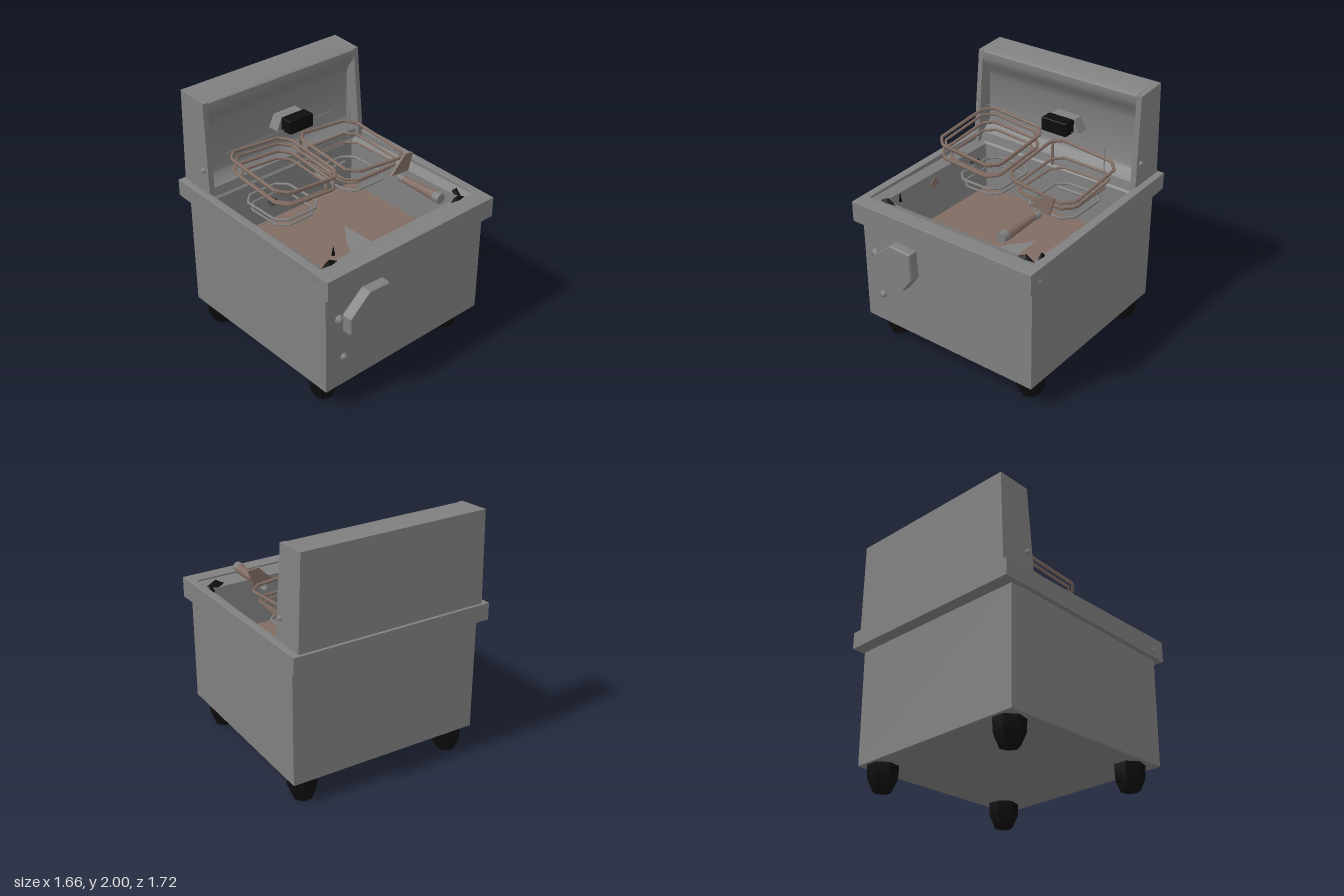
import * as THREE from 'three';
import { toCreasedNormals } from 'three/addons/utils/BufferGeometryUtils.js';
import { RoundedBoxGeometry } from 'three/addons/geometries/RoundedBoxGeometry.js';

const mat = (name, color, side = THREE.FrontSide) => {
  const m = new THREE.MeshStandardMaterial({ color, side });
  m.name = name;
  return m;
};

export function createModel() {
  const root = new THREE.Group();
  root.name = 'countertopFryer';
  const steel = mat('steel', 0x808080, THREE.DoubleSide);
  const copper = mat('copper', 0x806c62, THREE.DoubleSide);
  const black = mat('blackRubber', 0x0d0d0d, THREE.DoubleSide);

  const add = (name, geo, material, x = 0, y = 0, z = 0) => {
    const m = new THREE.Mesh(geo, material);
    m.name = name;
    m.position.set(x, y, z);
    root.add(m);
    return m;
  };
  const polygon = pts => new THREE.Shape(pts.map(p => new THREE.Vector2(...p)));
  // moves each vertex by a rule
  const warp = (geo, rule) => {
    const p = geo.attributes.position, v = new THREE.Vector3();
    for (let i = 0; i < p.count; i++) {
      rule(v.fromBufferAttribute(p, i));
      p.setXYZ(i, v.x, v.y, v.z);
    }
    geo.computeVertexNormals();
    return toCreasedNormals(geo, 0.7);
  };
  // joins rectangular loops [halfX, zBack, zFront, y]
  const loft = loops => {
    const pos = [], idx = [];
    loops.forEach(([x, b, f, y]) => pos.push(-x, y, b, x, y, b, x, y, f, -x, y, f));
    for (let r = 0; r < loops.length - 1; r++)
      for (let i = 0; i < 4; i++) {
        const a = r * 4 + i, c = r * 4 + (i + 1) % 4;
        idx.push(a, a + 4, c, c, a + 4, c + 4);
      }
    const g = new THREE.BufferGeometry();
    g.setAttribute('position', new THREE.Float32BufferAttribute(pos, 3));
    g.setIndex(idx);
    return toCreasedNormals(g, 0.4);
  };
  const rod = (name, a, b, r, material) => {
    const curve = new THREE.LineCurve3(new THREE.Vector3(...a), new THREE.Vector3(...b));
    return add(name, new THREE.TubeGeometry(curve, 1, r, 6), material);
  };

  // Cabinet: four walls and an underside, open above for the tank
  add('cabinet', loft([
    [0.77, -0.76, 0.76, 0.19], [0.785, -0.775, 0.775, 0.2],
    [0.785, -0.775, 0.775, 1.12]]), steel);
  add('underside', new THREE.BoxGeometry(1.54, 0.01, 1.52), steel, 0, 0.195, 0);

  // Sloping rim around the tank
  const rimShape = polygon([[-0.81, -0.83], [0.81, -0.83], [0.81, 0.85], [-0.81, 0.85]]);
  rimShape.holes.push(new THREE.Path([[-0.77, -0.73], [-0.77, 0.6], [0.77, 0.6], [0.77, -0.73]]
    .map(p => new THREE.Vector2(...p))));
  const rimGeo = new THREE.ExtrudeGeometry(rimShape, {
    depth: 0.96, bevelEnabled: true, bevelSize: 0.012, bevelThickness: 0.02, bevelSegments: 2 });
  rimGeo.rotateX(-Math.PI / 2);
  add('rim', warp(rimGeo, v => {
    const t = (0.84 - v.z) / 1.7;
    const low = 1.05 + 0.08 * t, high = 1.22 + 0.05 * t;
    v.y = low + (high - low) * (v.y + 0.02);
  }), steel);

  // Tank with a sloped ledge and coloured floor
  add('tank', loft([[0.775, -0.61, 0.735, 1.215], [0.69, -0.575, 0.62, 1.17],
    [0.68, -0.57, 0.6, 0.78]]), steel);
  add('tankFloor', new THREE.BoxGeometry(1.36, 0.01, 1.17), copper, 0, 0.78, 0.015);
  const drain = new THREE.ShapeGeometry(polygon([[-0.17, -0.44], [0.19, -0.44], [0.18, 0.1], [0.04, -0.08]]));
  drain.rotateX(-Math.PI / 2);
  add('drainPlate', drain, steel, 0, 0.79, 0);
  const port = add('tankPort', new THREE.CylinderGeometry(0.04, 0.04, 0.008, 10), copper, -0.68, 1.09, 0.08);
  port.rotation.z = Math.PI / 2;

  // Splash guard: hollow-fronted profile with side cheeks
  const side = (pts, width) => {
    const g = new THREE.ExtrudeGeometry(polygon(pts), { depth: width, bevelEnabled: false });
    g.translate(0, 0, -width / 2);
    g.rotateY(-Math.PI / 2);
    return g;
  };
  const taper = v => { v.x *= 1 - 0.03 * (v.y - 1.2) / 0.8; };
  add('splashGuard', warp(side([[-0.84, 1.2], [-0.845, 2], [-0.6, 1.985], [-0.578, 1.97],
    [-0.578, 1.92], [-0.6, 1.87], [-0.645, 1.81], [-0.67, 1.74], [-0.675, 1.36],
    [-0.66, 1.32], [-0.58, 1.27], [-0.57, 1.2]], 1.46), taper), steel);
  for (const s of [-1, 1]) {
    const cheek = side([[-0.84, 1.2], [-0.845, 2], [-0.58, 1.98], [-0.53, 1.2]], 0.045);
    cheek.translate(s * 0.75, 0, 0);
    add('splashCheek', warp(cheek, taper), steel);
    add('cheekBolt', new THREE.SphereGeometry(0.022, 8, 6), steel, s * 0.765, 1.44, -0.595);
    add('rimBolt', new THREE.SphereGeometry(0.016, 8, 6), steel, s * 0.815, 1.12, 0.735);
  }

  // Rubber feet
  for (const x of [-0.645, 0.645])
    for (const z of [0.59, -0.655]) {
      const foot = new THREE.LatheGeometry([[0, 0], [0.075, 0], [0.115, 0.09], [0.12, 0.2], [0, 0.2]]
        .map(p => new THREE.Vector2(...p)), 7);
      add('foot', toCreasedNormals(foot, 0.5), black, x, 0, z);
    }

  // Front control dial and indicator studs
  const dial = new THREE.ExtrudeGeometry(polygon([[-0.62, 0.69], [-0.34, 0.635], [-0.255, 0.75],
    [-0.265, 0.96], [-0.45, 0.97], [-0.625, 0.82]]),
    { depth: 0.06, bevelEnabled: true, bevelSize: 0.008, bevelThickness: 0.015, bevelSegments: 1 });
  add('controlDial', dial, steel, 0, 0, 0.785);
  add('upperStud', new THREE.SphereGeometry(0.036, 6, 4), steel, -0.67, 0.805, 0.785);
  add('lowerStud', new THREE.SphereGeometry(0.03, 10, 6), steel, -0.62, 0.445, 0.775);

  // Basket hanger block, its bracket and rail
  add('hangerBlock', new RoundedBoxGeometry(0.23, 0.11, 0.11, 1, 0.008), black, 0.065, 1.585, -0.515);
  const bracket = new THREE.ExtrudeGeometry(polygon([[-0.085, 1.53], [0.225, 1.53], [0.17, 1.63], [-0.04, 1.63]]),
    { depth: 0.1, bevelEnabled: false });
  add('hangerBracket', bracket, steel, 0, 0, -0.675);
  rod('hangerRail', [-0.64, 1.55, -0.53], [0.44, 1.55, -0.53], 0.003, steel);
  rod('railPin', [0.54, 1.28, -0.45], [0.54, 1.55, -0.45], 0.004, steel);

  // Wire hoop with clipped corners, tilted along x and z
  const hoop = (name, x0, x1, z0, z1, y, slopeX, slopeZ, r, material) => {
    const c = 0.075, cx = (x0 + x1) / 2, cz = (z0 + z1) / 2;
    const pts = [[x0 + c, z0], [x1 - c, z0], [x1, z0 + c], [x1, z1 - c],
      [x1 - c, z1], [x0 + c, z1], [x0, z1 - c], [x0, z0 + c]]
      .map(([x, z]) => new THREE.Vector3(x, y + slopeX * (x - cx) + slopeZ * (z - cz), z));
    const path = new THREE.CurvePath();
    pts.forEach((p, i) => path.add(new THREE.LineCurve3(p, pts[(i + 1) % 8])));
    add(name, new THREE.TubeGeometry(path, 72, r, 6, true), material);
  };
  // Left basket
  hoop('leftBasketHoop', -0.62, -0.05, -0.525, 0.125, 1.495, -0.09, -0.1, 0.013, copper);
  hoop('leftBasketHoop', -0.6, -0.07, -0.5, 0.1, 1.465, -0.09, -0.1, 0.011, copper);
  hoop('leftBasketHoop', -0.61, -0.06, -0.51, 0.12, 1.39, -0.07, -0.1, 0.013, copper);
  hoop('leftBasketHoop', -0.57, -0.09, -0.48, 0.07, 1.36, -0.07, -0.07, 0.011, copper);
  hoop('leftBasketBase', -0.53, -0.13, -0.47, -0.0, 1.16, 0, 0, 0.011, steel);
  hoop('leftBasketBase', -0.51, -0.15, -0.45, -0.02, 1.1, 0, 0, 0.009, steel);
  // Right basket
  hoop('rightBasketHoop', 0.05, 0.63, -0.525, 0.125, 1.41, -0.1, -0.1, 0.013, copper);
  hoop('rightBasketHoop', 0.075, 0.605, -0.5, 0.08, 1.31, -0.02, -0.07, 0.011, copper);
  hoop('rightBasketHoop', 0.09, 0.585, -0.48, 0.06, 1.26, 0, 0, 0.009, copper);
  hoop('rightBasketBase', 0.14, 0.55, -0.46, 0.01, 1.15, 0, 0, 0.011, steel);
  rod('rightBasketBar', [0.14, 1.12, -0.41], [0.47, 1.12, -0.42], 0.014, steel);
  rod('rightBasketPost', [0.055, 1.26, -0.47], [0.055, 1.46, -0.47], 0.011, copper);

  // Scoop handle lying over the front rim, with a flat tab
  rod('handleNeck', [0.44, 1.275, 0.23], [0.44, 1.276, 0.3], 0.027, steel);
  const grip = add('handleGrip', new THREE.CylinderGeometry(0.04, 0.026, 0.33, 12), copper, 0.437, 1.28, 0.45);
  grip.rotation.x = Math.PI / 2;
  const end = add('handleEnd', new THREE.CylinderGeometry(0.04, 0.041, 0.06, 12), steel, 0.434, 1.282, 0.64);
  end.rotation.x = Math.PI / 2;
  const tab = new THREE.ExtrudeGeometry(polygon([[0.355, 1.315], [0.53, 1.3], [0.575, 1.44], [0.49, 1.45]]),
    { depth: 0.018, bevelEnabled: false });
  add('handleTab', tab, copper, 0, 0, 0.215);

  // Small dark clips at the corners and in the left basket
  const clip = (x, y, z, w, h, d, turn) => {
    const g = new THREE.ConeGeometry(0.5, 1, 4);
    g.scale(w, h, d);
    add('clip', g, black, x, y, z).rotation.y = turn;
  };
  clip(-0.64, 1.2, 0.65, 0.17, 0.05, 0.08, 0);
  clip(0.64, 1.2, 0.65, 0.17, 0.05, 0.08, 0);
  clip(0.71, 1.2, 0.57, 0.05, 0.05, 0.1, 0);
  clip(-0.46, 1.25, -0.18, 0.12, 0.05, 0.08, 0.4);
  clip(-0.56, 1.24, 0.6, 0.035, 0.08, 0.03, 0);

  return root;
}
